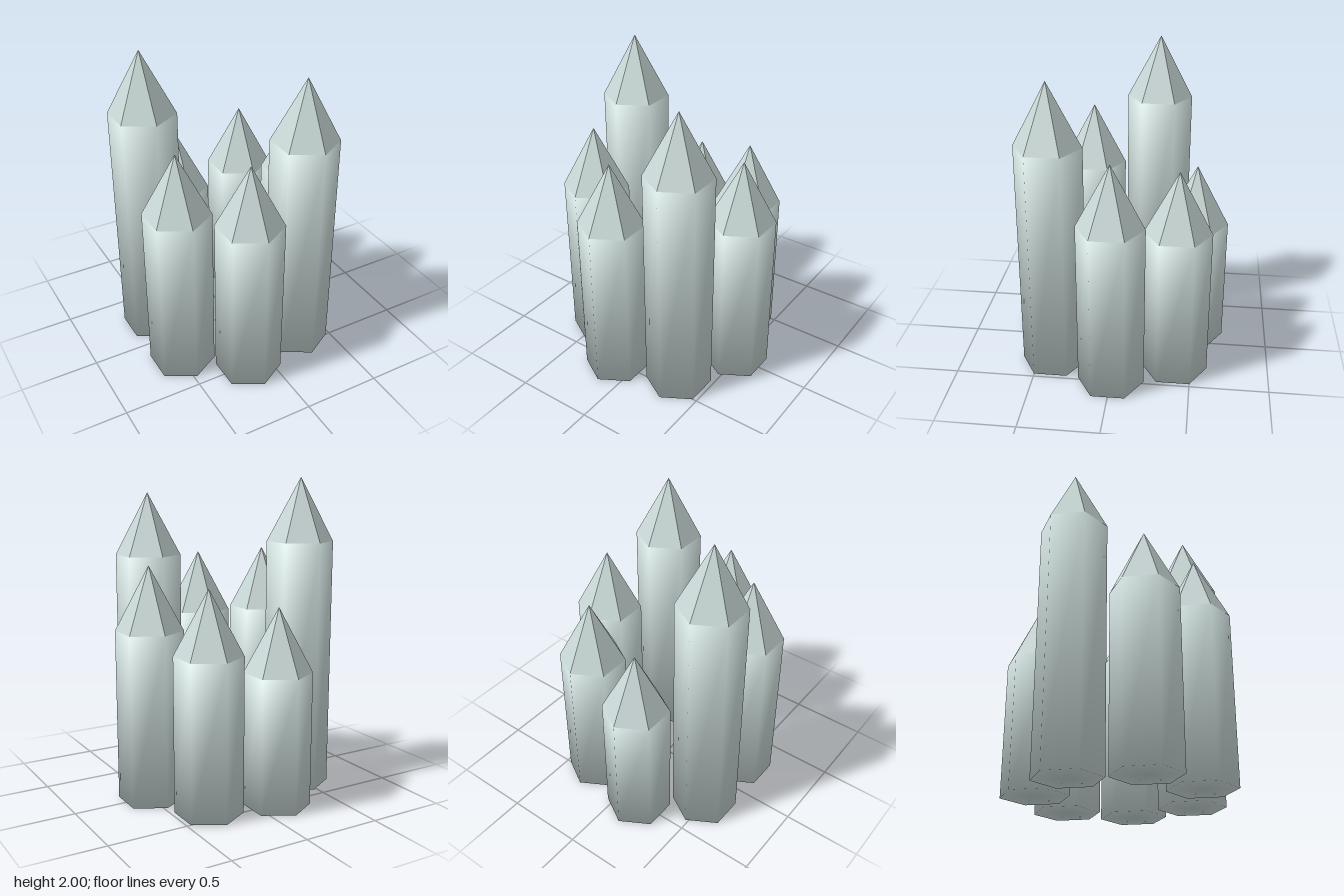
import * as THREE from 'three';

const RADIUS = 0.211;
const TIP = 0.4;
const RING = 0.505;
const OFFSET_X = -0.025;

// Shoulder height of each crystal, stepping round the ring from +x towards +z
const SHOULDERS = [1.08, 1.5, 1.09, 1.125, 1.6, 0.845, 0.975];

// Hexagonal prism with soft normals that blend the sides into both ends
function softPrism(height) {
  const geo = new THREE.CylinderGeometry(RADIUS, RADIUS, height, 6);
  const pos = geo.attributes.position;
  const n = new THREE.Vector3();
  for (let i = 0; i < pos.count; i++) {
    n.set(pos.getX(i) / RADIUS, Math.sign(pos.getY(i)) * 0.75, pos.getZ(i) / RADIUS).normalize();
    geo.attributes.normal.setXYZ(i, n.x, n.y, n.z);
  }
  return geo.translate(0, height / 2, 0);
}

// Sharp six-sided point with flat facets
function facetedTip() {
  const geo = new THREE.ConeGeometry(RADIUS, TIP, 6, 1, true).toNonIndexed();
  geo.computeVertexNormals();
  return geo.translate(0, TIP / 2, 0);
}

export function createModel() {
  const model = new THREE.Group();
  model.name = 'crystalCluster';
  const crystalMaterial = new THREE.MeshStandardMaterial({ color: 0xc8d8d6 });
  crystalMaterial.name = 'paleCrystal';
  const tipGeometry = facetedTip();

  SHOULDERS.forEach((height, i) => {
    const angle = (i / SHOULDERS.length) * Math.PI * 2;
    const crystal = new THREE.Group();
    crystal.name = `crystal${i + 1}`;
    crystal.position.set(OFFSET_X + RING * Math.cos(angle), 0, RING * Math.sin(angle));

    const shaft = new THREE.Mesh(softPrism(height), crystalMaterial);
    shaft.name = 'shaft';
    const tip = new THREE.Mesh(tipGeometry, crystalMaterial);
    tip.name = 'tip';
    tip.position.y = height;

    crystal.add(shaft, tip);
    model.add(crystal);
  });
  return model;
}
